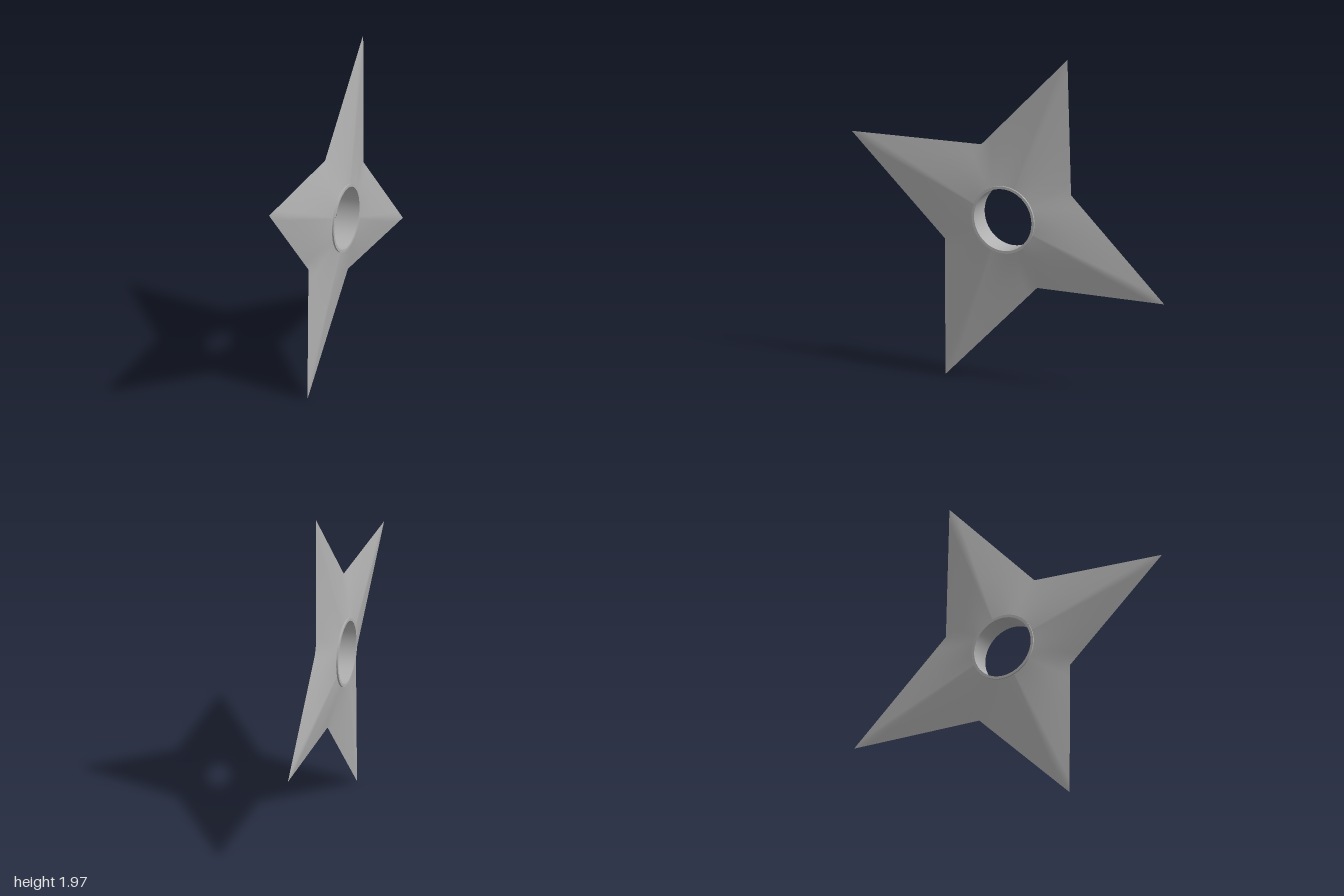
import * as THREE from 'three';
import { toCreasedNormals } from 'three/addons/utils/BufferGeometryUtils.js';

const CENTRE_Y = 0.995;
const HOLE_R = 0.195;
const HALF_THICKNESS = 0.06;

// Outline as [z, y]: tips and notches alternate round the star
const OUTLINE = [
  [-0.385, 1.98], [-0.405, 1.175], [-1.0, 0.595], [-0.185, 0.595],
  [0.405, 0.01], [0.405, 0.82], [1.0, 1.39], [0.17, 1.41],
];

// One face of the star, tapering from the hole to a sharp edge
function bladeFace(side) {
  const steps = 10, rings = 4;
  const count = OUTLINE.length * steps;
  const positions = [], index = [];
  for (let i = 0; i < count; i++) {
    const k = Math.floor(i / steps), t = (i % steps) / steps;
    const a = OUTLINE[k], b = OUTLINE[(k + 1) % OUTLINE.length];
    const z = a[0] + (b[0] - a[0]) * t;
    const y = a[1] + (b[1] - a[1]) * t - CENTRE_Y;
    const r = HOLE_R / Math.hypot(z, y);
    for (let j = 0; j <= rings; j++) {
      const f = j / rings;
      const scale = r + (1 - r) * f;
      positions.push(side * HALF_THICKNESS * (1 - f), y * scale, z * scale);
    }
    const row = rings + 1, next = (i + 1) % count;
    for (let j = 0; j < rings; j++) {
      const p = i * row + j, q = next * row + j;
      if (side < 0) index.push(p, p + 1, q + 1, p, q + 1, q);
      else index.push(p, q + 1, p + 1, p, q, q + 1);
    }
  }
  const geometry = new THREE.BufferGeometry();
  geometry.setAttribute('position', new THREE.Float32BufferAttribute(positions, 3));
  geometry.setIndex(index);
  geometry.computeVertexNormals();
  return geometry;
}

export function createModel() {
  const model = new THREE.Group();
  model.name = 'throwingStar';
  const steel = new THREE.MeshStandardMaterial({ color: 0xb0b0b0, side: THREE.DoubleSide });
  steel.name = 'steel';

  // Star leans very slightly about its centre
  const star = new THREE.Group();
  star.name = 'star';
  star.position.y = CENTRE_Y;
  star.rotation.set(0, 0.004, -0.008);
  model.add(star);

  for (const side of [-1, 1]) {
    const face = new THREE.Mesh(bladeFace(side), steel);
    face.name = side > 0 ? 'leftBladeFace' : 'rightBladeFace';
    star.add(face);
  }

  // Collar lining the hole
  const profile = [
    [0.184, -0.069], [0.2, -0.069], [0.2, 0.069], [0.184, 0.069], [0.184, -0.069],
  ].map(([r, h]) => new THREE.Vector2(r, h));
  const collar = new THREE.Mesh(
    toCreasedNormals(new THREE.LatheGeometry(profile, 48), 0.6), steel);
  collar.name = 'holeCollar';
  collar.rotation.z = Math.PI / 2;
  star.add(collar);

  return model;
}
